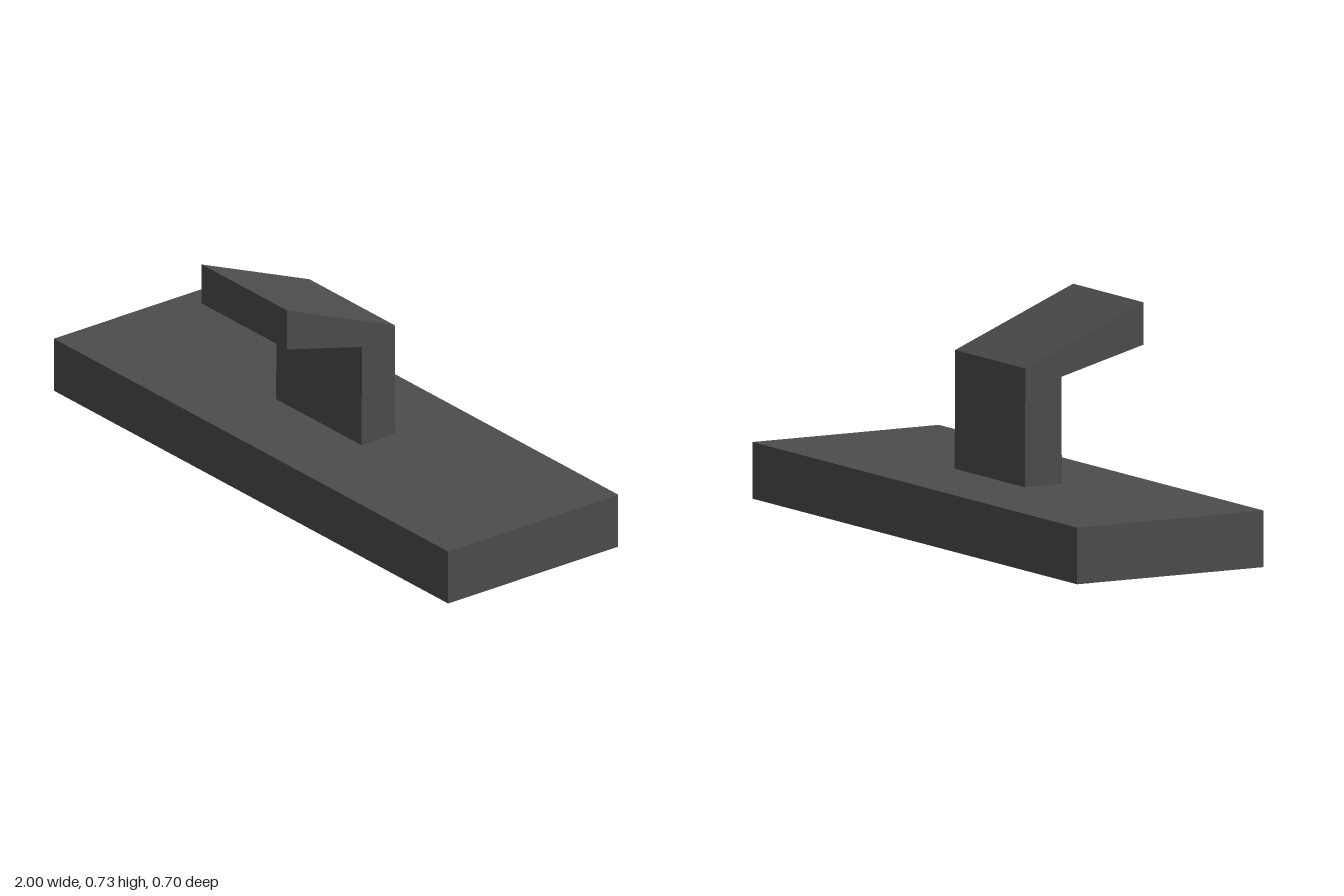
import * as THREE from 'three';

const BASE = { x0: -1, x1: 1, z0: -0.352, z1: 0.327, height: 0.18 };
const RIM = 0.05; // width of the lip under the base
const RECESS = 0.055; // depth of the underside recess

// Rectangle in the XY plane, wound counter-clockwise
function rectangle(PathType, x0, x1, y0, y1) {
  return new PathType([[x0, y0], [x1, y0], [x1, y1], [x0, y1]].map(([x, y]) => new THREE.Vector2(x, y)));
}

export function createModel() {
  const group = new THREE.Group();
  const darkGrey = new THREE.MeshStandardMaterial({ name: 'darkGrey', color: 0x4d4d4d });
  const yellow = new THREE.MeshStandardMaterial({ name: 'yellow', color: 0xcccc66 });

  const add = (name, geometry, material) => {
    const mesh = new THREE.Mesh(geometry, material);
    mesh.name = name;
    group.add(mesh);
    return mesh;
  };

  const width = BASE.x1 - BASE.x0;
  const depth = BASE.z1 - BASE.z0;
  const midZ = (BASE.z0 + BASE.z1) / 2;

  // Solid upper part of the base
  add('baseSlab', new THREE.BoxGeometry(width, BASE.height - RECESS, depth), darkGrey)
    .position.set(0, (BASE.height + RECESS) / 2, midZ);

  // Lip around the recess underneath (shape y becomes -z)
  const lip = rectangle(THREE.Shape, BASE.x0, BASE.x1, -BASE.z1, -BASE.z0);
  lip.holes.push(rectangle(THREE.Path, BASE.x0 + RIM, BASE.x1 - RIM, -BASE.z1 + RIM, -BASE.z0 - RIM));
  add('baseRim', new THREE.ExtrudeGeometry(lip, { depth: RECESS, bevelEnabled: false }).rotateX(-Math.PI / 2), darkGrey);

  // Light panel set into the recess
  add('lightPanel', new THREE.BoxGeometry(width - 2 * RIM, 0.004, depth - 2 * RIM), yellow)
    .position.set(0, RECESS - 0.002, midZ);

  // Bent mounting arm: side profile as (z, y), extruded across x
  const profile = new THREE.Shape([
    [-0.08, BASE.height], [0.055, BASE.height], [0.053, 0.52],
    [0.352, 0.598], [0.352, 0.733], [-0.078, 0.557],
  ].map(([z, y]) => new THREE.Vector2(z, y)));
  const armWidth = 0.433;
  const arm = new THREE.ExtrudeGeometry(profile, { depth: armWidth, bevelEnabled: false });
  arm.rotateY(-Math.PI / 2).translate(0.215, 0, 0);
  add('mountingArm', arm, darkGrey);

  return group;
}
